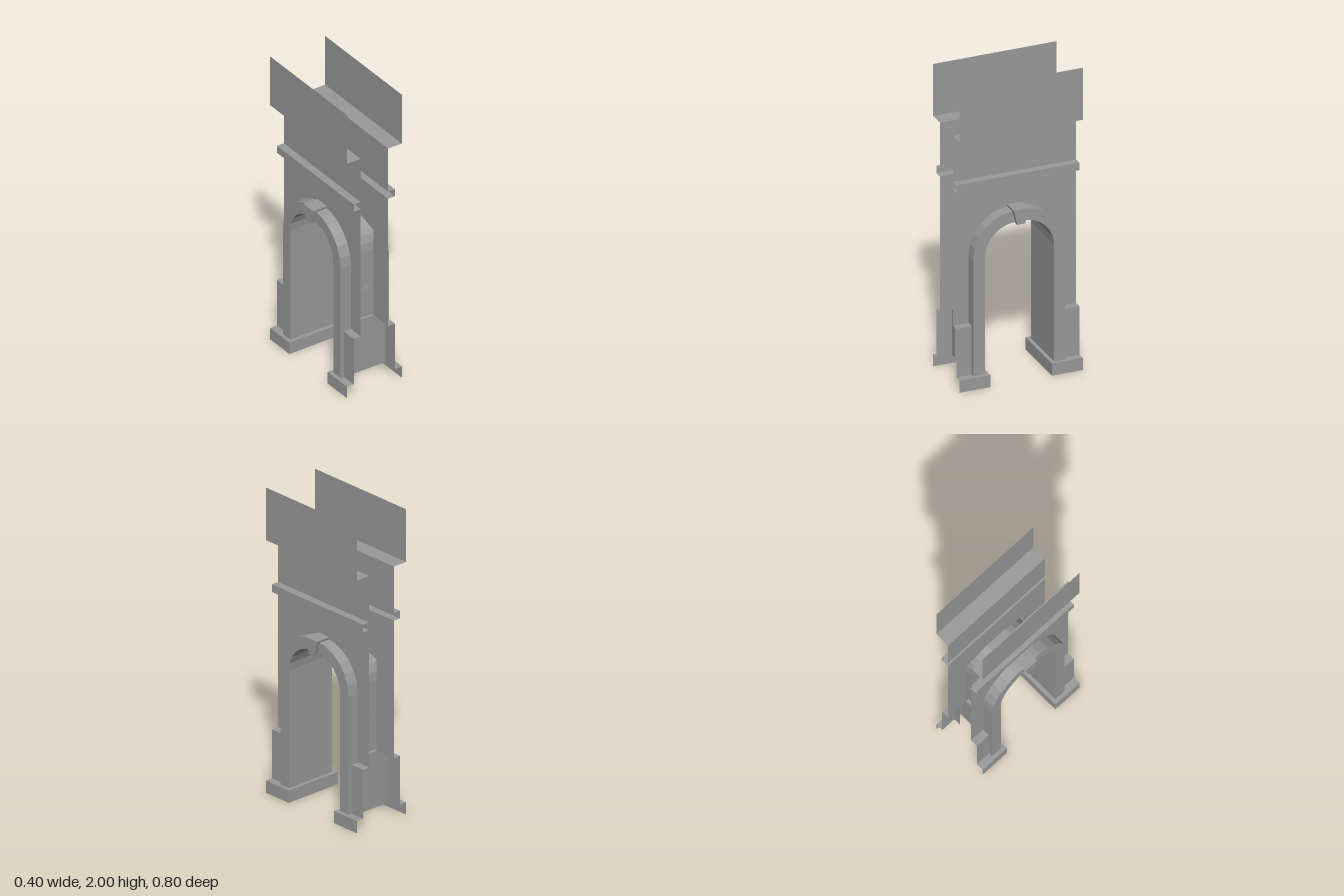
import * as THREE from 'three';

const material = new THREE.MeshStandardMaterial({ color: 0x999999, side: THREE.DoubleSide, flatShading: true });

function addMesh(parent, name, geometry) {
  const mesh = new THREE.Mesh(geometry, material);
  mesh.name = name;
  parent.add(mesh);
  return mesh;
}

// Sweeps an open (x, y) profile straight along z; rising edges face +x.
function sweep(profile, z0, z1) {
  const v = [];
  for (let i = 0; i < profile.length - 1; i++) {
    const [ax, ay] = profile[i], [bx, by] = profile[i + 1];
    v.push(ax, ay, z1, ax, ay, z0, bx, by, z0, ax, ay, z1, bx, by, z0, bx, by, z1);
  }
  const g = new THREE.BufferGeometry();
  g.setAttribute('position', new THREE.Float32BufferAttribute(v, 3));
  g.computeVertexNormals();
  return g;
}

// Completes the left half of an outline with its mirror image.
const mirrored = (left) => [...left, ...left.map(([x, y]) => [-x, y]).reverse()];

// Arch outline of a given half width: two quarter arcs joined by a short flat crown.
function archLine(half, bottom) {
  const c = 0.025, r = half - c, spring = 0.85, steps = 6;
  const left = [[-half, bottom]];
  for (let i = 0; i <= steps; i++) {
    const a = (i / steps) * Math.PI / 2;
    left.push([-c - r * Math.cos(a), spring + r * Math.sin(a)]);
  }
  return mirrored(left);
}

const shapeOf = (pts) => new THREE.Shape(pts.map(([x, y]) => new THREE.Vector2(x, y)));

// One facade with its mouldings, plus one pier of the passage.
function makeHalf() {
  const half = new THREE.Group();

  // Ledge, upper wall and projecting parapet
  addMesh(half, 'upperWall', sweep(
    [[0.1, 1.3], [0.15, 1.3], [0.15, 1.35], [0.1, 1.35], [0.1, 1.655], [0.2, 1.655], [0.2, 2]], -0.4, 0.4));

  // Base and plinth on both sides of the opening
  for (const s of [-1, 1]) {
    const span = (a, b) => (s > 0 ? [a, b] : [-b, -a]);
    addMesh(half, 'base', sweep([[0.2, 0], [0.2, 0.08], [0.15, 0.08]], ...span(0.2, 0.4)));
    addMesh(half, 'plinth', sweep([[0.15, 0.08], [0.15, 0.4], [0.1, 0.4]], ...span(0.25, 0.4)));
  }

  // Parts laid out in the plane of the facade (local z is depth outwards)
  const facade = new THREE.Group();
  facade.name = 'facade';
  facade.rotation.y = Math.PI / 2;
  half.add(facade);

  // Wall with a rough opening hidden behind the arch moulding
  const opening = mirrored([[-0.25, 0.4], [-0.25, 1], [-0.077, 1.05]]);
  const wall = shapeOf([[-0.4, 0.4], ...opening, [0.4, 0.4], [0.4, 1.3], [-0.4, 1.3]]);
  addMesh(facade, 'wall', new THREE.ShapeGeometry(wall)).position.z = 0.1;

  // Raised arch moulding
  const inner = archLine(0.225, 0.08), outer = archLine(0.3, 0.08).reverse();
  addMesh(facade, 'archFace', new THREE.ShapeGeometry(shapeOf([...inner, ...outer]))).position.z = 0.175;
  addMesh(facade, 'archRim', sweep(outer, 0.1, 0.175));

  // Keystone
  const key = shapeOf([[-0.025, 1.04], [0.025, 1.04], [0.05, 1.137], [-0.05, 1.137]]);
  addMesh(facade, 'keystone', new THREE.ExtrudeGeometry(key, { depth: 0.1, bevelEnabled: false })).position.z = 0.1;

  // Stepped pier across the passage
  addMesh(facade, 'pierBase', sweep([[-0.2, 0], [-0.2, 0.08]], -0.2, 0.2));
  addMesh(facade, 'pierPlinth', sweep([[-0.2, 0.08], [-0.25, 0.08], [-0.25, 0.4]], -0.15, 0.15));
  addMesh(facade, 'pierBack', sweep([[-0.25, 0.4], [-0.23, 0.4], [-0.23, 0.6], [-0.225, 0.6]], -0.1, 0.1));
  return half;
}

export function createModel() {
  const model = new THREE.Group();
  model.name = 'archGate';

  // Two identical halves, turned half a revolution from each other
  for (const [name, turn] of [['leftHalf', 0], ['rightHalf', Math.PI]]) {
    const half = makeHalf();
    half.name = name;
    half.rotation.y = turn;
    model.add(half);
  }

  // Jambs and vault lining the passage, with a level top over the crown
  addMesh(model, 'vault', sweep(archLine(0.225, 0.08), -0.175, 0.175)).rotation.y = Math.PI / 2;
  addMesh(model, 'vaultTop', sweep([[0.1, 1.05], [-0.1, 1.05]], -0.077, 0.077));
  return model;
}
